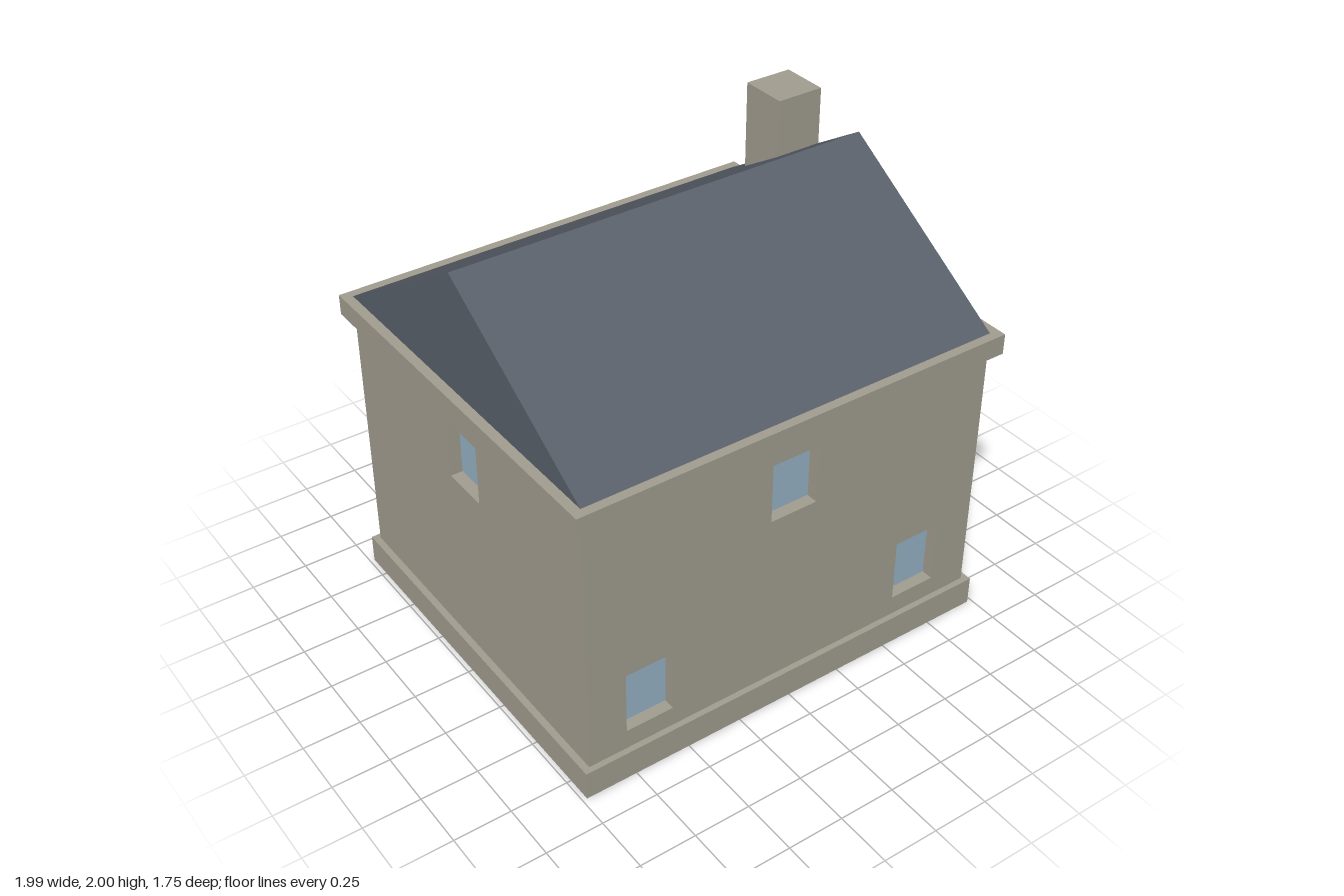
import * as THREE from 'three';

const HALF_X = 0.95, HALF_Z = 0.837, EAVES = 1.38, WALL = 0.14;
const DOOR_X = -0.475, DOOR_W = 0.235, DOOR_DEPTH = 0.11, STEP = 0.006;

const material = (color) => new THREE.MeshStandardMaterial({ color, flatShading: true });

export function createModel() {
  const stone = material(0xa39e90), slate = material(0x5a616b);
  const glass = material(0x97b3c6), wood = material(0x6e4630);
  const house = new THREE.Group();
  house.name = 'house';

  function add(parent, name, geometry, mat) {
    const mesh = new THREE.Mesh(geometry, mat);
    mesh.name = name;
    parent.add(mesh);
    return mesh;
  }
  // Box given by its lower and upper corners
  function box(parent, name, mat, [x0, y0, z0], [x1, y1, z1]) {
    const g = new THREE.BoxGeometry(x1 - x0, y1 - y0, z1 - z0);
    g.translate((x0 + x1) / 2, (y0 + y1) / 2, (z0 + z1) / 2);
    return add(parent, name, g, mat);
  }
  function polygon(Type, points) {
    return new Type(points.map(([x, y]) => new THREE.Vector2(x, y)));
  }
  const rect = (x0, y0, x1, y1) => [[x0, y0], [x1, y0], [x1, y1], [x0, y1]];

  // Openings: centre x as seen from outside, sill, head, width
  const upper = (x, w = 0.216) => ({ name: 'window', x, y0: 0.93, y1: 1.195, w, depth: 0.052, mat: glass });
  const lower = (x, w = 0.216) => ({ name: 'window', x, y0: 0.22, y1: 0.505, w, depth: 0.052, mat: glass });
  const door = { name: 'door', x: -DOOR_X, y0: STEP, y1: 0.505, w: DOOR_W, depth: DOOR_DEPTH, mat: wood };

  // A wall facing +z, pierced by openings with recessed panels, then turned to its side
  function wall(name, halfWidth, distance, turn, openings) {
    const side = new THREE.Group();
    side.name = name;
    const shape = polygon(THREE.Shape, rect(-halfWidth, 0.002, halfWidth, EAVES - 0.01));
    for (const o of openings) {
      const x0 = o.x - o.w / 2, x1 = o.x + o.w / 2, z = distance - o.depth;
      shape.holes.push(polygon(THREE.Path, rect(x0, o.y0, x1, o.y1)));
      box(side, o.name, o.mat, [x0, o.y0, z - 0.02], [x1, o.y1, z]);
    }
    const g = new THREE.ExtrudeGeometry(shape, { depth: WALL, bevelEnabled: false });
    g.translate(0, 0, distance - WALL);
    add(side, name + 'Panel', g, stone);
    side.rotation.y = turn;
    house.add(side);
  }
  const sideHalf = HALF_Z - WALL;
  wall('frontWall', HALF_X, HALF_Z, 0, [upper(0), lower(-0.668), lower(0.663)]);
  wall('backWall', HALF_X, HALF_Z, Math.PI,
    [upper(-0.377, 0.232), upper(-DOOR_X, 0.235), lower(-0.377, 0.232), door]);
  wall('leftWall', sideHalf, HALF_X, Math.PI / 2, [upper(-0.24)]);
  wall('rightWall', sideHalf, HALF_X, -Math.PI / 2, [upper(0)]);

  // Plinth, notched at the back for the doorway
  const px = 0.98, pz = 0.863, inner = HALF_Z - DOOR_DEPTH;
  const d0 = DOOR_X - DOOR_W / 2, d1 = DOOR_X + DOOR_W / 2;
  const plan = polygon(THREE.Shape, [
    [-px, -pz], [px, -pz], [px, pz], [d1, pz], [d1, inner], [d0, inner], [d0, pz], [-px, pz],
  ]);
  const plinth = new THREE.ExtrudeGeometry(plan, { depth: 0.13, bevelEnabled: false });
  plinth.rotateX(-Math.PI / 2);
  add(house, 'plinth', plinth, stone);
  box(house, 'doorStep', stone, [d0, 0, -pz], [d1, STEP, -inner]);

  // Cornice
  box(house, 'cornice', stone, [-0.993, 1.29, -0.877], [0.993, EAVES, 0.877]);

  // Gabled roof
  const gable = polygon(THREE.Shape, [[-HALF_Z, EAVES], [HALF_Z, EAVES], [0, 1.905]]);
  const roof = new THREE.ExtrudeGeometry(gable, { depth: 2 * HALF_X, bevelEnabled: false });
  roof.translate(0, 0, -HALF_X);
  roof.rotateY(Math.PI / 2);
  add(house, 'roof', roof, slate);

  // Chimney, flush with the gable end
  box(house, 'chimney', stone, [0.735, EAVES, -0.465], [HALF_X + 0.001, 2, -0.25]);

  return house;
}
